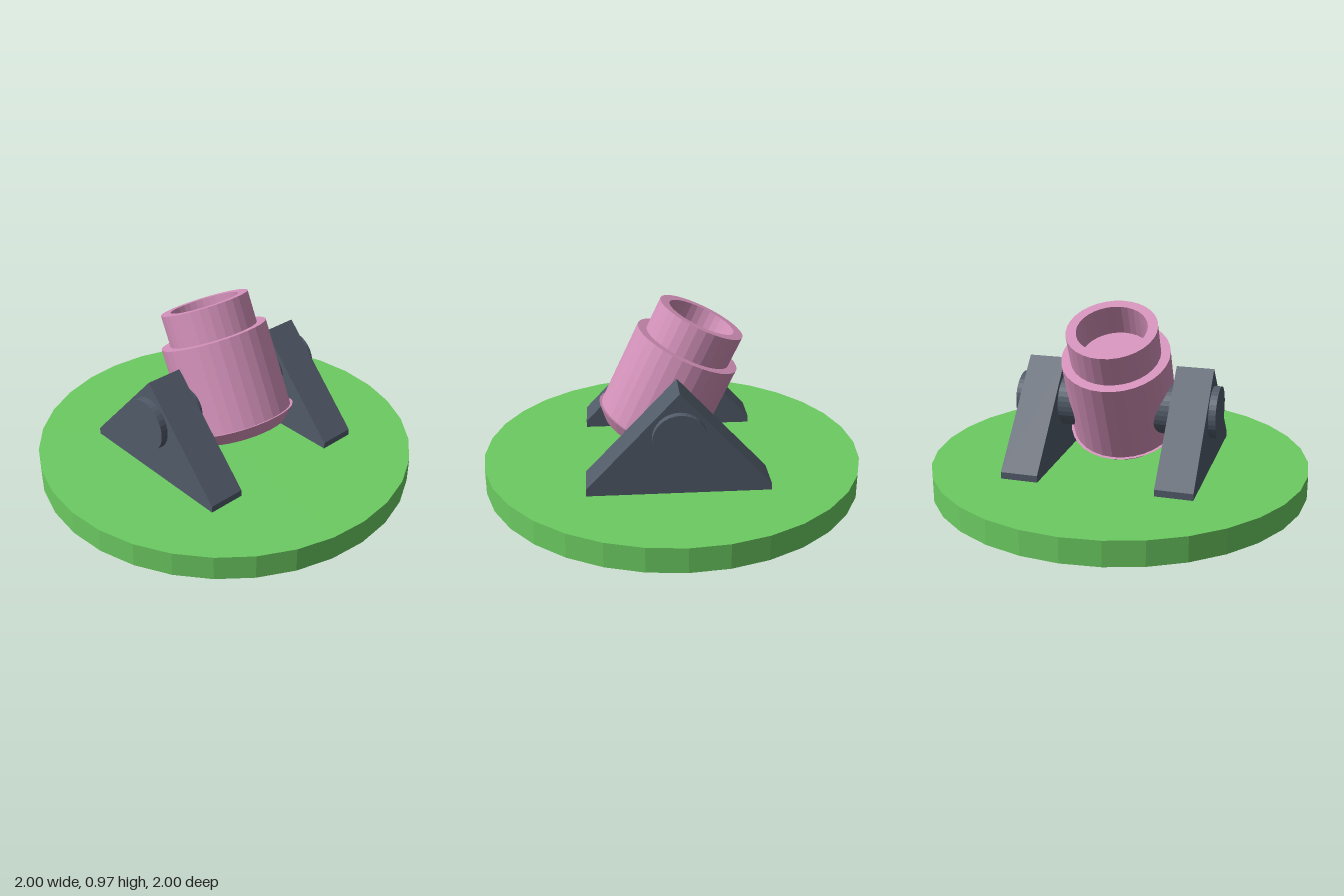
import * as THREE from 'three';

const paint = (color) => new THREE.MeshStandardMaterial({ color, flatShading: true });

export function createModel() {
  const model = new THREE.Group();
  const green = paint(0x6ccb62);
  const pink = paint(0xd592bb);
  const slate = paint(0x515b69);

  const add = (name, geometry, material, parent = model) => {
    const mesh = new THREE.Mesh(geometry, material);
    mesh.name = name;
    parent.add(mesh);
    return mesh;
  };

  // Round base plate
  const baseHeight = 0.13;
  add('basePlate', new THREE.CylinderGeometry(1, 1, baseHeight, 32), green).position.y = baseHeight / 2;

  // Mortar barrel: tapered foot, body, narrower muzzle and shallow bore.
  // Heights are measured along the barrel from its foot.
  const profile = [
    [0, 0], [0.235, 0], [0.297, 0.067], [0.283, 0.067],
    [0.283, 0.53], [0.234, 0.53], [0.234, 0.7],
    [0.182, 0.7], [0.182, 0.53], [0, 0.53],
  ].map(([r, y]) => new THREE.Vector2(r, y));
  const barrel = add('barrel', new THREE.LatheGeometry(profile, 32), pink);
  barrel.position.set(0.142, 0.238, 0);
  barrel.rotation.z = THREE.MathUtils.degToRad(25);

  // Pivot pin running through both brackets
  const pin = add('pivotPin', new THREE.CylinderGeometry(0.135, 0.135, 1.07, 32), slate);
  pin.rotation.x = Math.PI / 2;
  pin.position.y = 0.43;

  // Triangular side brackets with short upright ends
  const outline = new THREE.Shape([
    [-0.46, baseHeight], [0.46, baseHeight], [0.46, 0.165], [0, 0.66], [-0.46, 0.165],
  ].map(([x, y]) => new THREE.Vector2(x, y)));
  const thickness = 0.195;
  const bracket = new THREE.ExtrudeGeometry(outline, { depth: thickness, bevelEnabled: false });
  bracket.translate(0, 0, -thickness / 2);
  for (const [name, side] of [['frontBracket', 1], ['backBracket', -1]]) {
    add(name, bracket, slate).position.z = side * 0.4;
  }

  return model;
}
